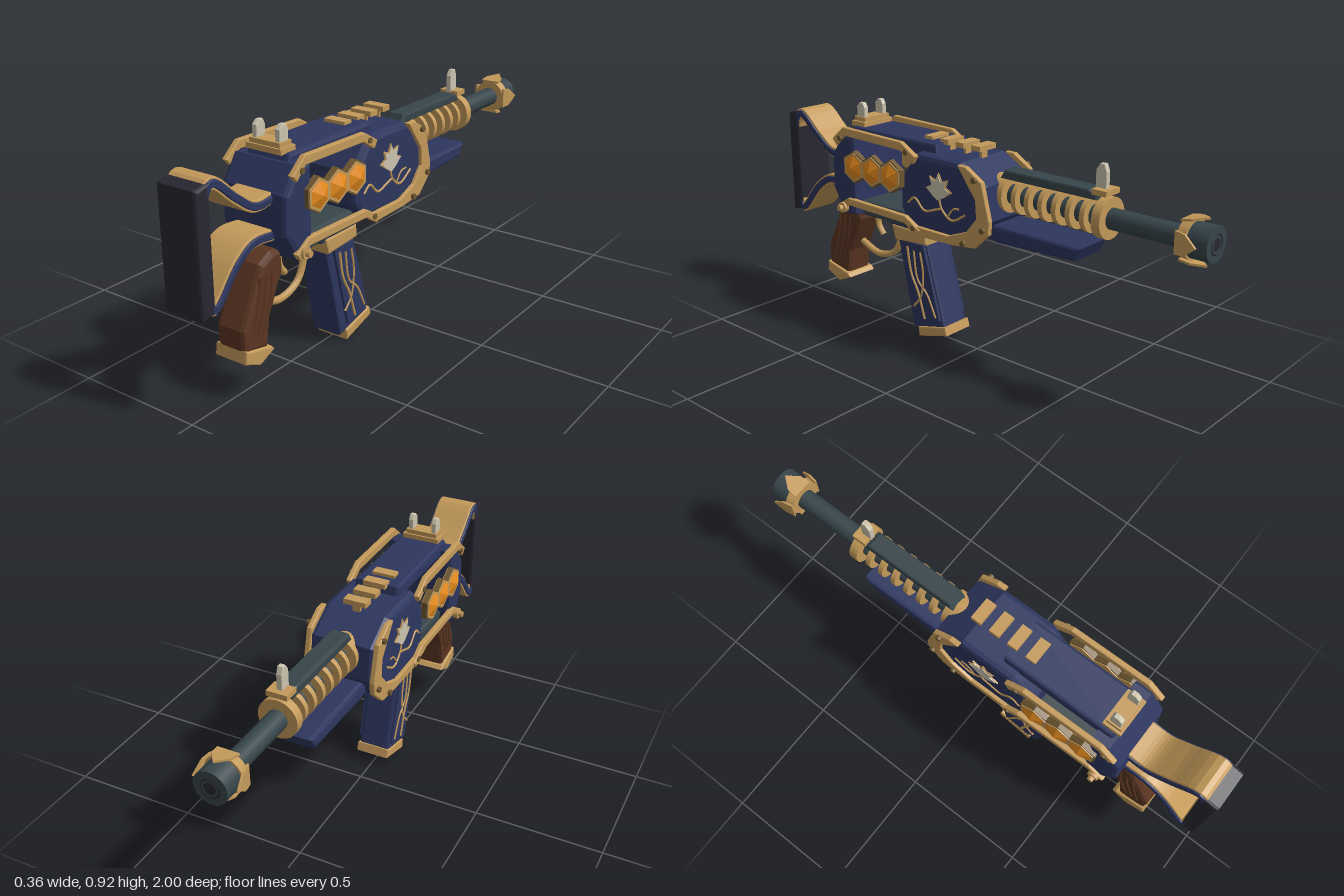
import * as THREE from 'three';

export function createModel() {
  const model = new THREE.Group();
  const paint = (name, color) => {
    const m = new THREE.MeshStandardMaterial({ color });
    m.name = name;
    return m;
  };
  const navy = paint('navy', 0x2d365f), gold = paint('gold', 0xc49a5a), steel = paint('gunmetal', 0x37454a);
  const brown = paint('brown', 0x5b3522), amber = paint('amber', 0xe88c1e), cream = paint('cream', 0xccc4ae);
  const black = paint('black', 0x282731), bronze = paint('bronze', 0x6e5730);
  const sides = [1, -1], axisY = 0.674;

  const add = (name, geo, mat, x = 0, y = 0, z = 0) => {
    const mesh = new THREE.Mesh(geo, mat);
    mesh.name = name;
    mesh.position.set(x, y, z);
    model.add(mesh);
    return mesh;
  };
  // Side profile of [z, y] points, extruded across x and centred on the given x
  const profile = (name, mat, pts, width, bevel = 0.01, x = 0) => {
    const depth = width - 2 * bevel;
    const geo = new THREE.ExtrudeGeometry(new THREE.Shape(pts.map(p => new THREE.Vector2(...p))), {
      depth, bevelEnabled: bevel > 0, bevelSize: bevel, bevelThickness: bevel, bevelOffset: -bevel, bevelSegments: 2,
    });
    geo.translate(0, 0, -depth / 2).rotateY(-Math.PI / 2);
    return add(name, geo, mat, x);
  };
  // Flat strip that follows a path in the side plane
  const band = (name, mat, pts, thick, width, { x = 0, bevel = 0.004, smooth = false } = {}) => {
    const path = pts.map(p => new THREE.Vector3(p[0], p[1], 0));
    const line = smooth ? new THREE.CatmullRomCurve3(path, false, 'centripetal').getPoints(48) : path;
    const edge = s => line.map((p, i) => {
      const a = line[Math.max(i - 1, 0)], b = line[Math.min(i + 1, line.length - 1)];
      const t = b.clone().sub(a).normalize();
      return [p.x - t.y * s * thick / 2, p.y + t.x * s * thick / 2];
    });
    return profile(name, mat, [...edge(1), ...edge(-1).reverse()], width, bevel, x);
  };
  const tube = (name, mat, pts, r, x = 0) => add(name, new THREE.TubeGeometry(
    new THREE.CatmullRomCurve3(pts.map(p => new THREE.Vector3(x, p[1], p[0]))), 24, r, 6), mat);
  const box = (name, mat, w, h, d, x, y, z) => add(name, new THREE.BoxGeometry(w, h, d), mat, x, y, z);
  // Round part along the barrel axis between two z values
  const round = (name, mat, r, z0, z1, r1 = r) =>
    add(name, new THREE.CylinderGeometry(r, r1, Math.abs(z1 - z0), 28).rotateX(Math.PI / 2), mat, 0, axisY, (z0 + z1) / 2);

  // Stock: pad and open frame, gold band with navy edges
  profile('buttPad', black, [[1, 0.82], [0.94, 0.835], [0.94, 0.4], [1, 0.39]], 0.165, 0.012);
  const stock = [[0.64, 0.695], [0.735, 0.69], [0.82, 0.745], [0.925, 0.825], [0.958, 0.78], [0.962, 0.45],
    [0.94, 0.41], [0.83, 0.525], [0.755, 0.57], [0.64, 0.565]];
  band('stockBand', gold, stock, 0.042, 0.15, { smooth: true });
  band('stockEdge', navy, stock, 0.026, 0.164, { smooth: true });

  // Receiver
  profile('rearBlock', navy, [[0.665, 0.57], [0.66, 0.71], [0.6, 0.8], [0.53, 0.8], [0.53, 0.475], [0.6, 0.465]], 0.28, 0.018);
  profile('frontBlock', navy, [[0.28, 0.56], [0.28, 0.68], [0.22, 0.755], [0.19, 0.79], [-0.03, 0.79], [-0.15, 0.72],
    [-0.165, 0.59], [-0.1, 0.5], [-0.02, 0.485], [0.24, 0.49]], 0.265, 0.022);
  profile('topSpine', navy, [[0.6, 0.77], [0.58, 0.825], [0.13, 0.825], [0.12, 0.77]], 0.18, 0.012);
  profile('lowerFrame', steel, [[0.6, 0.48], [0.56, 0.53], [0.24, 0.53], [0.18, 0.47], [0.55, 0.465]], 0.2, 0.012);
  profile('magazineWell', navy, [[0.4, 0.5], [0.4, 0.44], [0.2, 0.44], [0.17, 0.5]], 0.15);
  for (let i = 0; i < 4; i++) {
    const z = -0.03 + i * 0.079;
    box('topSlat', gold, 0.09, 0.02, 0.042, 0, 0.827, z);
    box('slatPost', gold, 0.03, 0.05, 0.012, 0, 0.797, z);
  }

  for (const s of sides) {
    // Gold rails and nose plates
    band('upperRail', gold, [[0.63, 0.765], [0.575, 0.815], [0.255, 0.808], [0.185, 0.765]], 0.034, 0.022, { x: s * 0.141 });
    band('lowerRail', gold, [[0.62, 0.49], [0.56, 0.528], [0.24, 0.522], [0.17, 0.48]], 0.03, 0.022, { x: s * 0.141 });
    profile('nosePlate', gold, [[0.19, 0.505], [0.02, 0.505], [-0.07, 0.54], [-0.12, 0.6], [-0.115, 0.67], [-0.07, 0.73],
      [-0.03, 0.785], [-0.07, 0.785], [-0.145, 0.74], [-0.182, 0.6], [-0.178, 0.55], [-0.11, 0.485], [0, 0.473], [0.17, 0.468]],
    0.022, 0.004, s * 0.135);

    // Amber cells in hexagonal frames
    for (let i = 0; i < 3; i++) {
      const z = 0.514 - i * 0.102;
      for (const [r, w, mat] of [[0.066, 0.022, bronze], [0.06, 0.03, gold]]) {
        const hex = new THREE.CylinderGeometry(r, r, w, 6, 1, false, Math.PI / 6).toNonIndexed();
        hex.computeVertexNormals();
        add('cellFrame', hex.rotateZ(-s * Math.PI / 2), mat, s * 0.144, 0.68, z);
      }
      const gem = new THREE.ConeGeometry(0.051, 0.018, 6, 1, false, Math.PI / 6).toNonIndexed();
      gem.computeVertexNormals();
      add('amberCell', gem.rotateZ(-s * Math.PI / 2), amber, s * 0.1675, 0.68, z);
    }

    // Leaf ornament and trailing vines
    const leaf = k => {
      const pts = [];
      for (let i = 0; i <= 8; i++) {
        const a = Math.PI * i / 8, r = (i % 2 ? 0.034 : 0.058) * k;
        pts.push([0.072 + r * Math.cos(a), 0.67 + r * Math.sin(a)]);
      }
      return [...pts, [0.045, 0.645], [0.072, 0.63], [0.1, 0.645]];
    };
    profile('leafBorder', gold, leaf(1.15), 0.006, 0, s * 0.1345);
    profile('leaf', cream, leaf(1), 0.009, 0, s * 0.136);
    tube('vine', gold, [[0.072, 0.64], [0.06, 0.6], [0.01, 0.565], [-0.06, 0.6]], 0.005, s * 0.133);
    tube('vine', gold, [[0.235, 0.59], [0.2, 0.615], [0.15, 0.575], [0.09, 0.59], [0.06, 0.6]], 0.005, s * 0.133);
    tube('vine', gold, [[0.03, 0.575], [0.0, 0.61], [-0.03, 0.615]], 0.004, s * 0.133);

    // Studs and screws
    const stud = (mat, r, x, y, z) => add('stud', new THREE.CylinderGeometry(r, r, 0.02, 12).rotateZ(Math.PI / 2), mat, s * x, y, z);
    stud(gold, 0.022, 0.152, 0.5, 0.59);
    stud(gold, 0.012, 0.168, 0.5, 0.59);
    for (const [y, z] of [[0.79, 0.225], [0.785, 0.595], [0.498, 0.195], [0.745, -0.115], [0.565, -0.155], [0.495, -0.06]])
      stud(bronze, 0.011, 0.147, y, z);
  }

  // Barrel, ribs and muzzle
  round('barrel', steel, 0.038, -0.1, -0.97);
  round('barrelCollar', gold, 0.07, -0.1, -0.175);
  for (let i = 0; i < 6; i++) {
    const z = -0.225 - i * 0.06;
    round('barrelRib', gold, 0.066, z + 0.01, z - 0.01);
  }
  round('frontBand', gold, 0.075, -0.57, -0.605);
  round('muzzle', steel, 0.062, -0.9, -1);
  add('muzzleRim', new THREE.TorusGeometry(0.034, 0.004, 6, 24), black, 0, axisY, -0.998);
  add('muzzleBore', new THREE.CircleGeometry(0.022, 20).rotateY(Math.PI), black, 0, axisY, -1.001);
  round('crownRing', gold, 0.066, -0.89, -0.925, 0.07);
  for (let i = 0; i < 4; i++) {
    const petal = new THREE.ExtrudeGeometry(new THREE.Shape([[-0.04, 0], [0.04, 0], [0.036, 0.04], [0, 0.085], [-0.036, 0.04]]
      .map(p => new THREE.Vector2(...p))), { depth: 0.008, bevelEnabled: false });
    petal.rotateX(-Math.PI / 2 + 0.18).translate(0, 0.062, -0.89).rotateZ(i * Math.PI / 2);
    add('crownPetal', petal, gold, 0, axisY, 0);
  }

  // Fore-end
  profile('topRail', steel, [[-0.14, 0.735], [-0.16, 0.77], [-0.53, 0.77], [-0.56, 0.755], [-0.56, 0.735]], 0.074, 0.008);
  profile('foreGuard', navy, [[-0.12, 0.57], [-0.54, 0.57], [-0.51, 0.515], [-0.17, 0.503], [-0.12, 0.51]], 0.17, 0.014);

  // Sights
  const post = (x, y, z, h, w) => profile('sightPost', cream,
    [[z + 0.022, y], [z + 0.022, y + h * 0.75], [z + 0.006, y + h], [z - 0.012, y + h], [z - 0.022, y + h * 0.7], [z - 0.022, y]], w, 0.003, x);
  box('rearSightBase', gold, 0.15, 0.02, 0.075, 0, 0.833, 0.568);
  box('rearSightTop', gold, 0.13, 0.02, 0.06, 0, 0.85, 0.568);
  for (const s of sides) post(s * 0.049, 0.855, 0.568, 0.062, 0.02);
  box('frontSightBase', gold, 0.08, 0.02, 0.06, 0, 0.766, -0.575);
  post(0, 0.77, -0.562, 0.09, 0.022);

  // Grip, guard and trigger
  profile('grip', brown, [[0.65, 0.5], [0.6, 0.5], [0.595, 0.42], [0.668, 0.265], [0.685, 0.16], [0.8, 0.18], [0.803, 0.265], [0.705, 0.47]], 0.125, 0.018);
  profile('gripCap', gold, [[0.8, 0.195], [0.676, 0.165], [0.662, 0.15], [0.735, 0.118], [0.807, 0.15]], 0.14, 0.006);
  for (const s of sides)
    for (let i = 0; i < 3; i++)
      tube('gripCarving', brown, [[0.655 + i * 0.028, 0.43], [0.67 + i * 0.03, 0.34], [0.71 + i * 0.025, 0.23]], 0.006, s * 0.062);
  tube('triggerGuard', gold, [[0.43, 0.49], [0.415, 0.38], [0.455, 0.3], [0.55, 0.27], [0.655, 0.305]], 0.014);
  tube('trigger', gold, [[0.51, 0.48], [0.548, 0.43], [0.545, 0.395], [0.52, 0.36]], 0.013);

  // Magazine
  profile('magazineCollar', gold, [[0.388, 0.455], [0.205, 0.455], [0.2, 0.405], [0.37, 0.392]], 0.16, 0.008);
  profile('magazineBody', navy, [[0.372, 0.41], [0.212, 0.41], [0.118, 0.07], [0.29, 0.03]], 0.13, 0.012);
  profile('magazineFoot', gold, [[0.26, 0.042], [0.112, 0.08], [0.102, 0.045], [0.255, 0]], 0.14, 0.006);
  for (const s of sides) {
    profile('magazinePanel', navy, [[0.335, 0.4], [0.218, 0.4], [0.135, 0.1], [0.255, 0.07]], 0.018, 0.004, s * 0.066);
    tube('magazineVine', gold, [[0.305, 0.38], [0.285, 0.27], [0.25, 0.2], [0.215, 0.09]], 0.006, s * 0.075);
    tube('magazineVine', gold, [[0.27, 0.37], [0.25, 0.25], [0.2, 0.2], [0.155, 0.11]], 0.005, s * 0.075);
    tube('magazineVine', gold, [[0.235, 0.37], [0.22, 0.28], [0.235, 0.18], [0.275, 0.13]], 0.005, s * 0.075);
  }
  return model;
}
